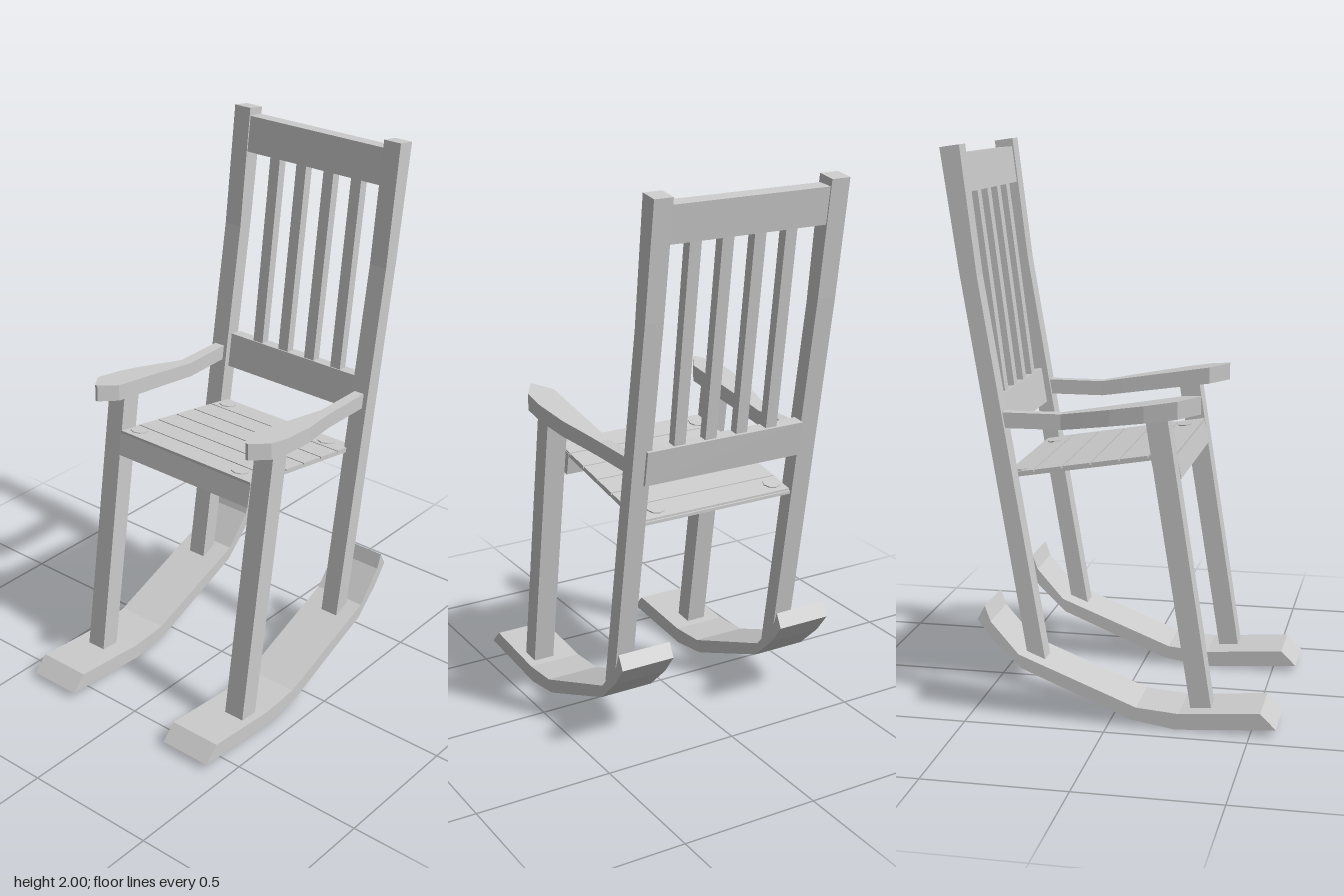
import * as THREE from 'three';

const material = new THREE.MeshStandardMaterial({ color: 0xcccccc, flatShading: true });

// Side profile in x/y, extruded from z0 to z1
function plank(name, points, z0, z1) {
  const shape = new THREE.Shape(points.map(([x, y]) => new THREE.Vector2(x, y)));
  const geo = new THREE.ExtrudeGeometry(shape, { depth: z1 - z0, bevelEnabled: false });
  geo.translate(0, 0, z0);
  const mesh = new THREE.Mesh(geo, material);
  mesh.name = name;
  return mesh;
}

// Solid with rectangular sections; each station is [x, zMin, zMax, yBottom, yTop]
function loft(name, stations) {
  const pos = [], idx = [];
  for (const [x, z0, z1, y0, y1] of stations) pos.push(x, y0, z0, x, y0, z1, x, y1, z1, x, y1, z0);
  const last = (stations.length - 1) * 4;
  for (let s = 0; s < last; s += 4) {
    for (let k = 0; k < 4; k++) {
      const a = s + k, b = s + (k + 1) % 4;
      idx.push(a, b + 4, b, a, a + 4, b + 4);
    }
  }
  idx.push(0, 1, 2, 0, 2, 3, last, last + 2, last + 1, last, last + 3, last + 2);
  const indexed = new THREE.BufferGeometry();
  indexed.setAttribute('position', new THREE.Float32BufferAttribute(pos, 3));
  indexed.setIndex(idx);
  const geo = indexed.toNonIndexed();
  geo.computeVertexNormals();
  const mesh = new THREE.Mesh(geo, material);
  mesh.name = name;
  return mesh;
}

const runnerProfile = [
  [-0.59, 0.025], [-0.24, 0], [-0.08, 0.025], [0.31, 0.185], [0.41, 0.28], [0.467, 0.355],
  [0.44, 0.405], [0.42, 0.35], [0.32, 0.235], [-0.1, 0.07], [-0.25, 0.058], [-0.535, 0.08],
];
const frontLegProfile = [[-0.358, 0.05], [-0.285, 0.045], [-0.12, 1.085], [-0.195, 1.1]];
const backPostProfile = [
  [0.237, 0.19], [0.303, 0.215], [0.528, 1.58], [0.587, 1.99], [0.518, 2], [0.464, 1.554],
];

// Armrest side heights: sloping front half, level rear part
const armBottom = x => 1.03 + Math.max(0, 0.18 - x) * 0.146;
const armTop = x => 1.085 + Math.max(0, 0.18 - x) * 0.162;
const armrest = (name, widths) =>
  loft(name, widths.map(([x, z0, z1]) => [x, z0, z1, armBottom(x), armTop(x)]));

// Height of the seat surface, falling toward the back
const seatY = x => 0.922 - 0.167 * x;

// Sloping seat board between two x positions, at two depths below the surface
const seatBoard = (name, a, b, low, high) => plank(name, [
  [a, seatY(a) - low], [b, seatY(b) - low], [b, seatY(b) - high], [a, seatY(a) - high],
], -0.3, 0.31);

export function createModel() {
  const group = new THREE.Group();

  // Rockers, legs and back posts
  group.add(
    plank('leftRunner', runnerProfile, 0.224, 0.426),
    plank('rightRunner', runnerProfile, -0.428, -0.225),
    plank('leftFrontLeg', frontLegProfile, 0.315, 0.395),
    plank('rightFrontLeg', frontLegProfile, -0.37, -0.295),
    plank('leftBackPost', backPostProfile, 0.3, 0.37),
    plank('rightBackPost', backPostProfile, -0.37, -0.298),
  );

  // Armrests with pointed front ends and narrow waists
  group.add(
    armrest('leftArmrest', [
      [-0.305, 0.36, 0.37], [-0.235, 0.31, 0.415], [-0.14, 0.31, 0.417], [0, 0.311, 0.398],
      [0.1, 0.311, 0.372], [0.18, 0.312, 0.353], [0.385, 0.312, 0.352],
    ]),
    armrest('rightArmrest', [
      [-0.305, -0.335, -0.325], [-0.235, -0.389, -0.284], [-0.12, -0.394, -0.29], [0, -0.382, -0.297],
      [0.1, -0.365, -0.302], [0.18, -0.35, -0.305], [0.385, -0.355, -0.313],
    ]),
  );

  // Back rails and spindles
  group.add(
    plank('lowerBackRail', [[0.395, 1], [0.443, 1], [0.464, 1.125], [0.415, 1.13]], -0.298, 0.322),
    plank('upperBackRail', [[0.503, 1.838], [0.56, 1.836], [0.579, 1.965], [0.52, 1.97]], -0.299, 0.301),
  );
  for (const z of [-0.172, -0.051, 0.072, 0.194]) {
    group.add(plank('spindle', [[0.418, 1.11], [0.452, 1.11], [0.55, 1.86], [0.512, 1.86]], z - 0.022, z + 0.022));
  }

  // Seat: front apron, under panel and slats
  group.add(
    plank('seatApron', [[-0.234, 0.865], [-0.142, 0.853], [-0.125, 0.938], [-0.217, 0.953]], -0.298, 0.312),
    seatBoard('seatPanel', -0.218, 0.397, 0.018, 0.007),
  );
  for (let i = 0; i < 6; i++) {
    const a = -0.218 + i * 0.1025;
    group.add(seatBoard('seatSlat', a, a + 0.097, 0.01, 0));
  }

  // Round caps, nearly flush with the seat corners
  const capGeometry = new THREE.CylinderGeometry(0.032, 0.032, 0.012, 8);
  for (const x of [-0.165, 0.34]) {
    for (const z of [-0.256, 0.222]) {
      const cap = new THREE.Mesh(capGeometry, material);
      cap.name = 'seatCap';
      cap.position.set(x, seatY(x) - 0.002, z);
      cap.rotation.z = -Math.atan(0.167);
      group.add(cap);
    }
  }
  return group;
}
